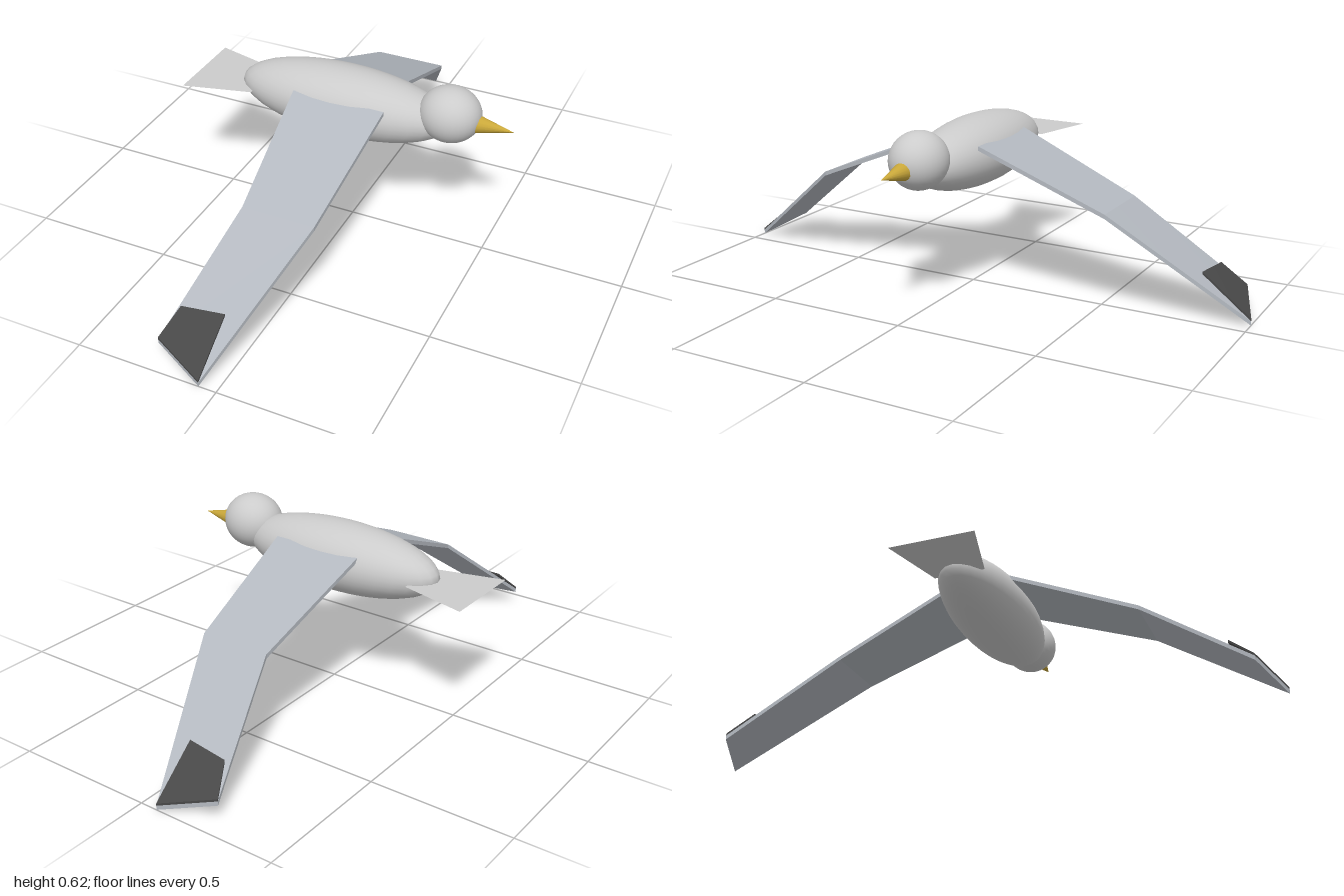
import * as THREE from 'three';

const mat = (color) => new THREE.MeshStandardMaterial({ color });
const bodyMat = mat(0xcccccc), wingMat = mat(0xb4b9c0), tipMat = mat(0x484848), beakMat = mat(0xcaa83a);

function add(parent, name, geometry, material, x = 0, y = 0, z = 0) {
  const mesh = new THREE.Mesh(geometry, material);
  mesh.name = name;
  mesh.position.set(x, y, z);
  parent.add(mesh);
  return mesh;
}

// Thin slab through four mid-plane corners: inner rear, inner front, outer rear, outer front
function panel(corners, side, thickness) {
  const geometry = new THREE.BoxGeometry(1, 1, 1);
  const p = geometry.attributes.position;
  for (let i = 0; i < p.count; i++) {
    const outer = p.getZ(i) * side > 0 ? 2 : 0;
    const [x, y, z] = corners[outer + (p.getX(i) > 0 ? 1 : 0)];
    p.setXYZ(i, x, y + p.getY(i) * thickness, z * side);
  }
  geometry.computeVertexNormals();
  return geometry;
}

export function createModel() {
  const model = new THREE.Group();
  model.name = 'bird';

  // Body, head and beak, pointing along +x
  add(model, 'body', new THREE.SphereGeometry(1, 32, 20), bodyMat, -0.03, 0.48, 0).scale.set(0.39, 0.122, 0.138);
  add(model, 'head', new THREE.SphereGeometry(1, 32, 20), bodyMat, 0.357, 0.522, 0).scale.set(0.108, 0.098, 0.098);
  const beak = new THREE.ConeGeometry(0.032, 0.13, 16).rotateZ(-Math.PI / 2);
  add(model, 'beak', beak, beakMat, 0.515, 0.507, 0);

  // Flat tail fan
  const fan = new THREE.Shape([[-0.35, -0.09], [-0.35, 0.09], [-0.59, 0.15], [-0.59, -0.15]]
    .map(([x, z]) => new THREE.Vector2(x, z)));
  const tailMat = mat(0xcccccc);
  tailMat.side = THREE.DoubleSide;
  add(model, 'tail', new THREE.ShapeGeometry(fan).rotateX(-Math.PI / 2), tailMat, 0, 0.475, 0);

  // Wings, bent down at the joint, each with a dark tip plate on top
  const root = [[-0.172, 0.532, 0.11], [0.162, 0.532, 0.11]];
  const joint = [[-0.136, 0.35, 0.552], [0.12, 0.35, 0.552]];
  const tip = [[-0.245, 0.056, 0.928], [-0.062, 0.0075, 1]];
  const plate = [[-0.205, 0.134, 0.845], [-0.055, 0.143, 0.83], ...tip.map((c) => [...c])]
    .map(([x, y, z]) => [x, y + 0.011, z]);
  for (const side of [1, -1]) {
    const wing = new THREE.Group();
    wing.name = side > 0 ? 'frontWing' : 'backWing';
    add(wing, 'innerWing', panel([...root, ...joint], side, 0.015), wingMat);
    add(wing, 'outerWing', panel([...joint, ...tip], side, 0.015), wingMat);
    add(wing, 'wingTip', panel(plate, side, 0.008), tipMat);
    model.add(wing);
  }
  return model;
}
